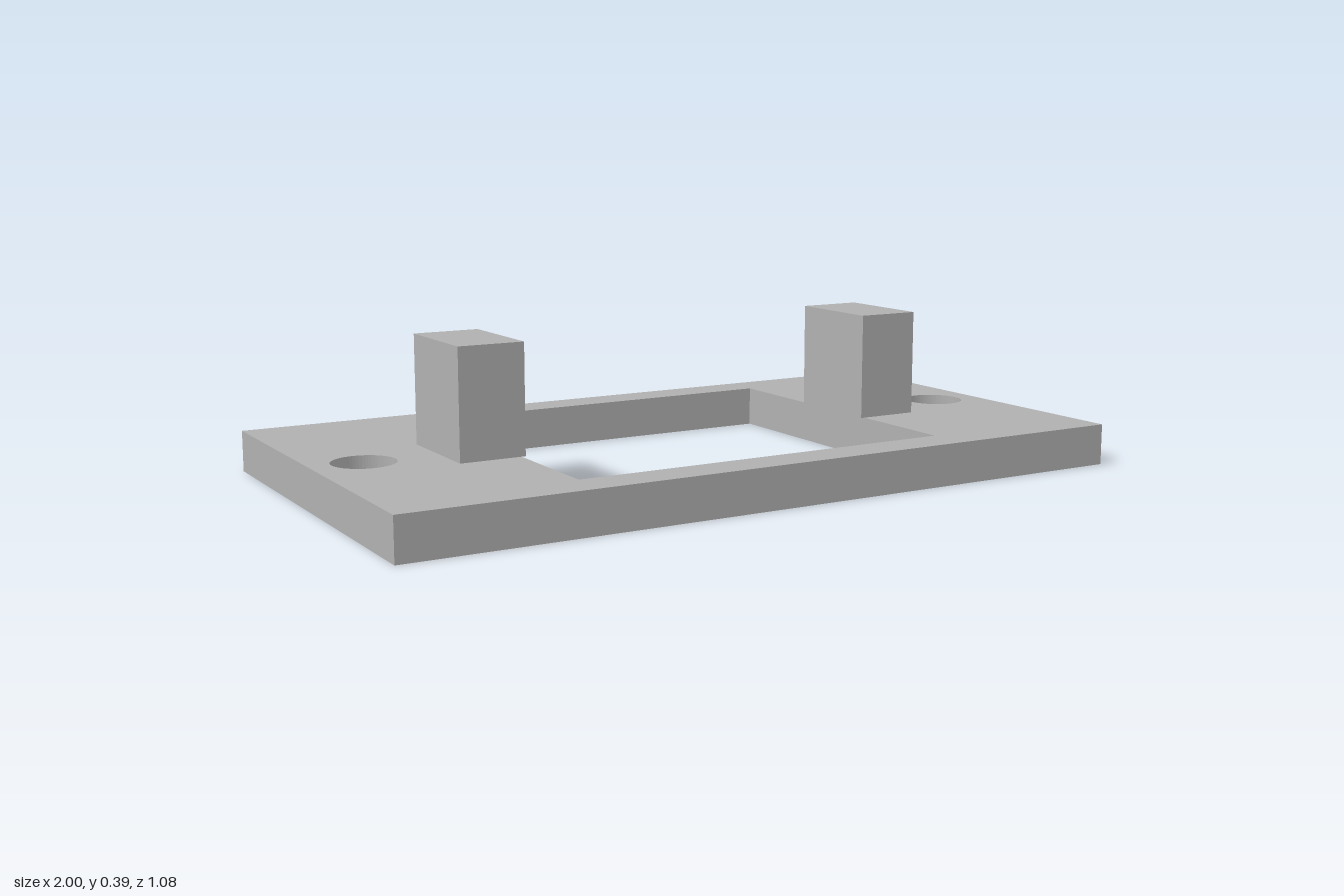
import * as THREE from 'three';

const PLATE_H = 0.108;

function rectangle(PathType, halfX, halfY) {
  const p = new PathType();
  p.moveTo(-halfX, -halfY);
  p.lineTo(halfX, -halfY);
  p.lineTo(halfX, halfY);
  p.lineTo(-halfX, halfY);
  p.closePath();
  return p;
}

export function createModel() {
  const group = new THREE.Group();
  group.name = 'mountingBracket';

  const grey = new THREE.MeshStandardMaterial({ color: 0xb0b0b0 });
  grey.name = 'plain grey';

  // Base plate with a large window and two screw holes
  const outline = rectangle(THREE.Shape, 1, 0.539);
  outline.holes.push(rectangle(THREE.Path, 0.515, 0.435));
  for (const side of [-1, 1]) {
    const hole = new THREE.Path();
    hole.absarc(side * 0.865, 0, 0.08, 0, Math.PI * 2, true);
    outline.holes.push(hole);
  }
  const plateGeometry = new THREE.ExtrudeGeometry(outline, {
    depth: PLATE_H, bevelEnabled: false, curveSegments: 32,
  });
  plateGeometry.rotateX(-Math.PI / 2);
  const plate = new THREE.Mesh(plateGeometry, grey);
  plate.name = 'basePlate';
  group.add(plate);

  // Upright posts, slightly overhanging the window edge
  const postH = 0.28;
  const postGeometry = new THREE.BoxGeometry(0.172, postH, 0.272);
  for (const [name, side] of [['leftPost', 1], ['rightPost', -1]]) {
    const post = new THREE.Mesh(postGeometry, grey);
    post.name = name;
    post.position.set(side * 0.59, PLATE_H + postH / 2, 0);
    group.add(post);
  }

  return group;
}
